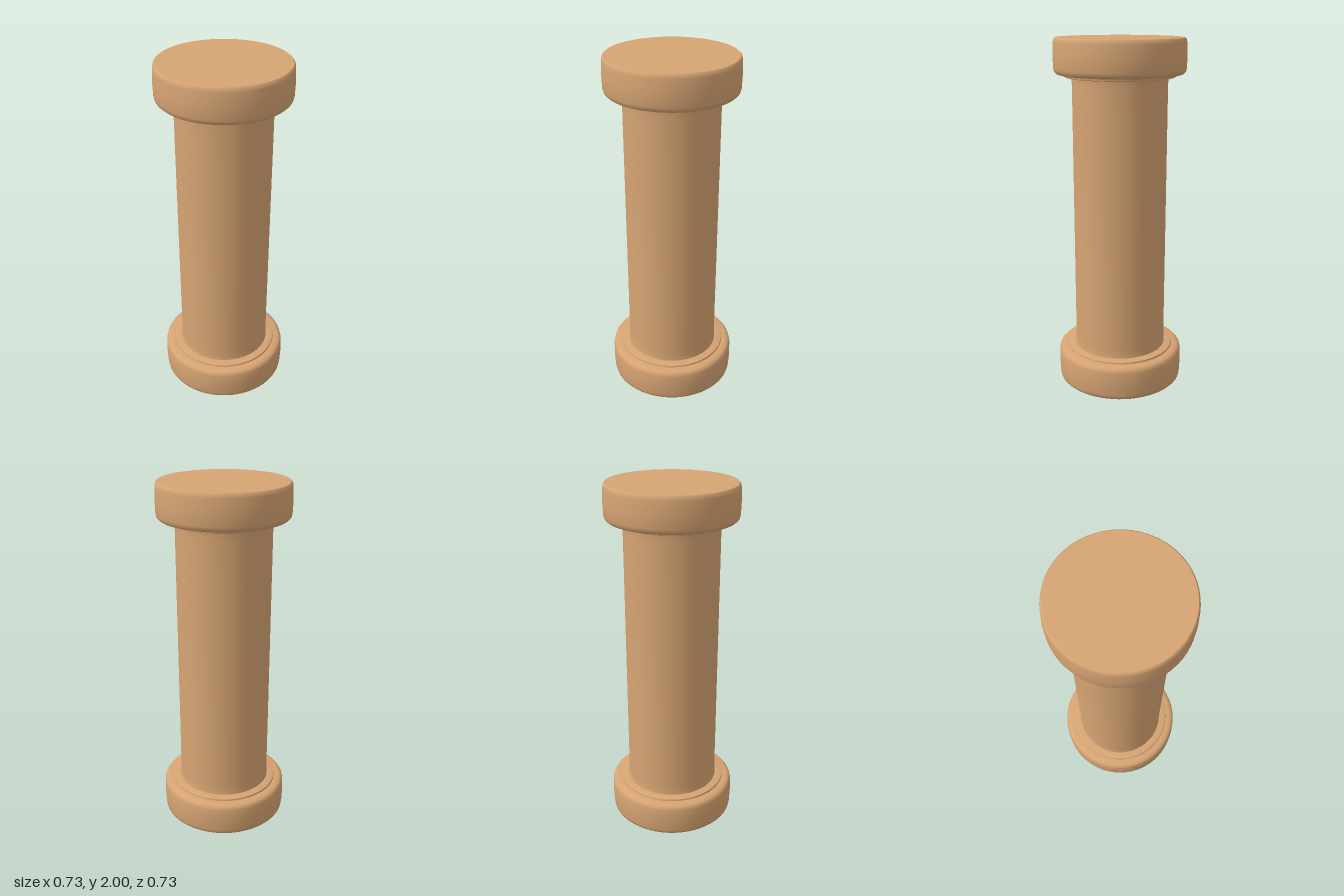
import * as THREE from 'three';
import { toCreasedNormals } from 'three/addons/utils/BufferGeometryUtils.js';

const SEGMENTS = 64;
const material = new THREE.MeshStandardMaterial({ color: 0xd6a473 });

// Revolves a profile of [radius, height] pairs listed from bottom to top.
function turned(name, profile) {
  const points = profile.map(([r, y]) => new THREE.Vector2(r, y));
  const geometry = toCreasedNormals(new THREE.LatheGeometry(points, SEGMENTS), 0.75);
  const mesh = new THREE.Mesh(geometry, material);
  mesh.name = name;
  return mesh;
}

export function createModel() {
  const group = new THREE.Group();
  group.name = 'column';

  // Round disc with softened edges and a thin raised collar around the shaft
  const disc = [
    [0, 0], [0.354, 0], [0.361, 0.007], [0.364, 0.025], [0.367, 0.1],
    [0.365, 0.165], [0.361, 0.182], [0.351, 0.192], [0.335, 0.196],
    [0.312, 0.198], [0.31, 0.208], [0.302, 0.211], [0.25, 0.212],
  ];
  const mirrored = disc.map(([r, y]) => [r, 2 - y]).reverse();
  group.add(turned('base', disc));
  group.add(turned('capital', mirrored));

  // Plain shaft between the two discs, ends hidden inside the collars
  group.add(turned('shaft', [
    [0.268, 0.205], [0.265, 0.225], [0.264, 0.26],
    [0.265, 1.74], [0.266, 1.775], [0.268, 1.795],
  ]));

  return group;
}
